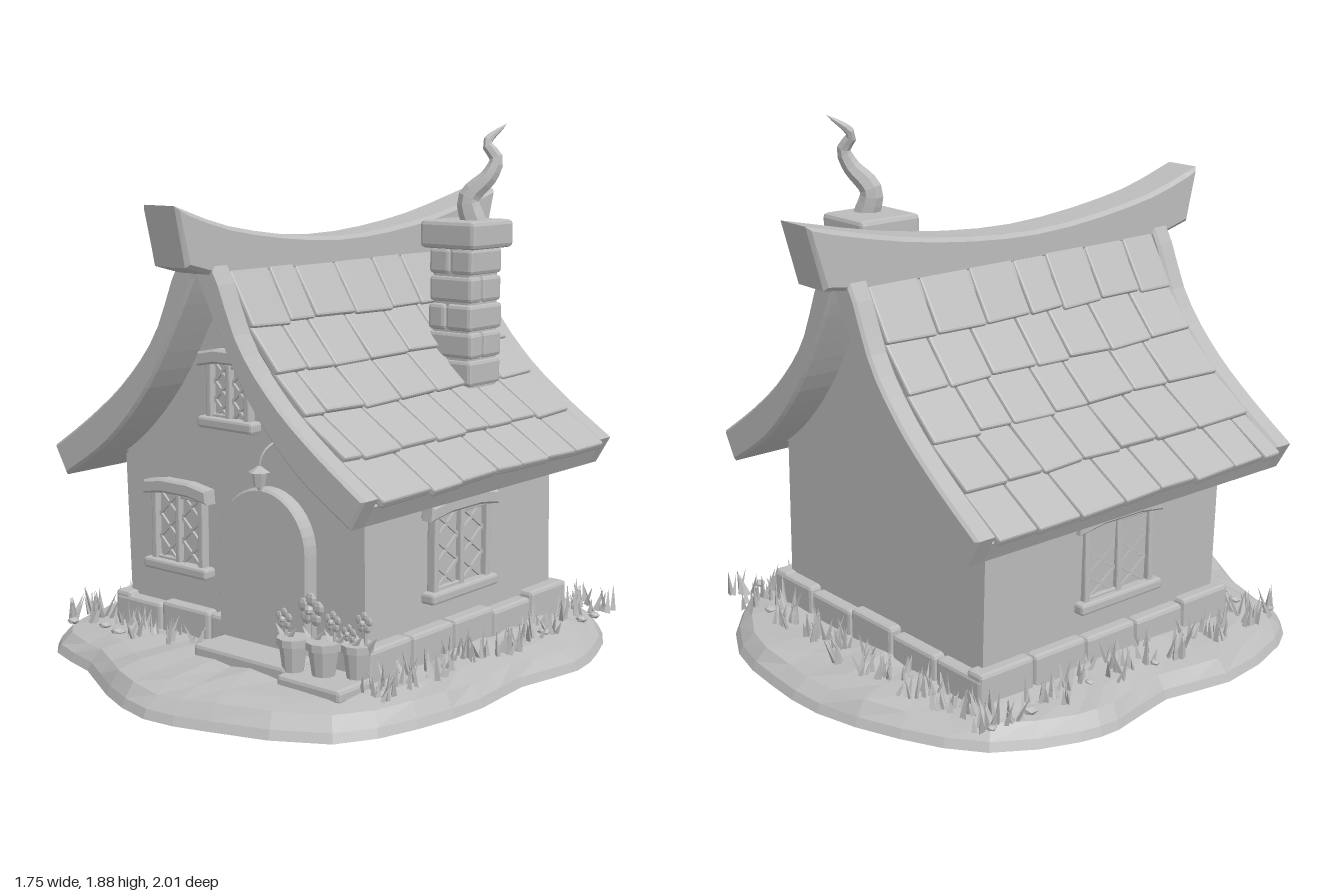
import * as THREE from 'three';
import { mergeGeometries } from 'three/addons/utils/BufferGeometryUtils.js';
import { RoundedBoxGeometry } from 'three/addons/geometries/RoundedBoxGeometry.js';

const clay = new THREE.MeshStandardMaterial({ color: 0xbcbcbc, flatShading: true });
clay.name = 'clayGrey';
const CX = -0.018; // ridge line

let seed = 7;
const rnd = (a = 0, b = 1) => {
  seed = (seed * 16807) % 2147483647;
  return a + (b - a) * (seed / 2147483647);
};
const V2 = (x, y) => new THREE.Vector2(x, y);

function add(parent, name, geo, x = 0, y = 0, z = 0, rx = 0, ry = 0, rz = 0) {
  const m = new THREE.Mesh(geo, clay);
  m.name = name;
  m.position.set(x, y, z);
  m.rotation.set(rx, ry, rz);
  parent.add(m);
  return m;
}
const block = (p, name, w, h, d, x, y, z, rz = 0, r = 0.01) =>
  add(p, name, new RoundedBoxGeometry(w, h, d, 1, r), x, y, z, 0, 0, rz);
const group = (parent, name, x = 0, y = 0, z = 0, ry = 0) => {
  const g = new THREE.Group();
  g.name = name;
  g.position.set(x, y, z);
  g.rotation.y = ry;
  parent.add(g);
  return g;
};
function extrude(shape, depth, bevel = 0) {
  const geo = new THREE.ExtrudeGeometry(shape, {
    depth: depth - 2 * bevel, bevelEnabled: bevel > 0, bevelSize: bevel, bevelOffset: -bevel,
    bevelThickness: bevel, bevelSegments: 1, curveSegments: 10 });
  return geo.translate(0, 0, bevel);
}

// Half roof profile as [distance from ridge, height], ridge to eave
const OUTER = [[0, 1.47], [0.09, 1.42], [0.2, 1.185], [0.35, 1.01], [0.525, 0.87], [0.72, 0.74]];
const INNER = [[0, 1.4], [0.08, 1.245], [0.235, 0.995], [0.43, 0.79], [0.66, 0.64]];
const curve = (pts, k = 1, dy = 0) =>
  new THREE.SplineCurve(pts.map(([u, y]) => V2(u * k, y + dy))).getPoints(16);
const side = (pts, s) => pts.map(p => V2(CX + s * p.x, p.y));
function roofBand(k, dy) {
  const o = curve(OUTER, k, dy), i = curve(INNER);
  return new THREE.Shape([...side(o, -1).reverse(), ...side(o, 1).slice(1),
    ...side(i, 1).reverse(), ...side(i, -1).slice(1)]);
}
// House end outline below the roof, from a floor line up
function gableShape(halfWidth, topWidth, floor) {
  const c = curve(INNER, 1, 0.02).filter(p => p.x < topWidth);
  return new THREE.Shape([V2(-halfWidth, floor), V2(halfWidth, floor),
    ...side(c, 1).reverse(), ...side(c, -1).slice(1)]);
}

function ground(root) {
  const outline = [[-0.13, -1], [-0.45, -0.9], [-0.71, -0.74], [-0.85, -0.47], [-0.87, -0.32], [-0.82, -0.05],
    [-0.87, 0.21], [-0.79, 0.56], [-0.66, 0.72], [-0.42, 0.79], [-0.18, 0.92], [0.08, 1], [0.32, 0.95],
    [0.69, 0.78], [0.81, 0.5], [0.85, 0.21], [0.83, -0.05], [0.88, -0.32], [0.83, -0.53], [0.71, -0.76],
    [0.43, -0.95], [0.14, -1]].map(([x, z]) => new THREE.Vector3(x, 0, z));
  const N = 44, ring = new THREE.CatmullRomCurve3(outline, true).getPoints(N).slice(0, N);
  const levels = [[1, 0], [0.985, 0.03], [0.94, 0.07], [0.85, 0.09], [0.7, 0.1], [0, 0.11]];
  const pos = [], idx = [];
  levels.forEach(([s, y], r) => ring.forEach(p => {
    const j = r > 1 && r < 5 ? rnd(-0.01, 0.01) : 0;
    pos.push(p.x * (s + j), y + j, p.z * (s + j));
  }));
  pos.push(0, 0, 0);
  for (let i = 0; i < N; i++) {
    const n = (i + 1) % N;
    for (let r = 0; r < levels.length - 1; r++) {
      const a = r * N + i, b = r * N + n;
      idx.push(a, b, b + N, a, b + N, a + N);
    }
    idx.push(levels.length * N, n, i);
  }
  const geo = new THREE.BufferGeometry();
  geo.setAttribute('position', new THREE.Float32BufferAttribute(pos, 3));
  geo.setIndex(idx);
  geo.computeVertexNormals();
  add(root, 'groundMound', geo);
}

// Leaded window facing +z, origin at the centre of its pane
function windowUnit(root, name, w, h, x, y, z, ry = 0) {
  const g = group(root, name, x, y, z, ry), hw = w / 2 + 0.05, t = h / 2;
  add(g, 'pane', new THREE.BoxGeometry(w, h, 0.008), 0, 0, 0.004);
  for (const s of [-1, 1]) {
    block(g, 'jamb', 0.025, h, 0.035, s * (w / 2 + 0.005), 0, 0.015, 0, 0.005);
    block(g, 'sash', w / 2, 0.015, 0.025, s * w / 4, s * (t - 0.008), 0.012, 0, 0.004);
    const sw = w / 2 - 0.02, rows = 3, ch = h / rows;
    for (let r = 0; r < rows; r++) for (const d of [-1, 1])
      add(g, 'leadBar', new THREE.BoxGeometry(Math.hypot(sw, ch), 0.01, 0.01),
        s * w / 4, -t + ch * (r + 0.5), 0.012, 0, 0, d * Math.atan2(ch, sw));
  }
  block(g, 'mullion', 0.022, h, 0.03, 0, 0, 0.015, 0, 0.005);
  block(g, 'sill', w + 0.09, 0.04, 0.06, 0, -t - 0.015, 0.02);
  const lintel = new THREE.Shape([V2(-hw, t - 0.015), V2(-w * 0.3, t), V2(w * 0.3, t), V2(hw, t - 0.015),
    V2(hw - 0.005, t + 0.035), V2(w * 0.3, t + 0.05), V2(-w * 0.3, t + 0.05), V2(-hw + 0.005, t + 0.035)]);
  add(g, 'lintel', extrude(lintel, 0.055, 0.008), 0, 0, -0.008);
}

function arch(hw, y0, spring) {
  const s = new THREE.Shape();
  s.moveTo(-hw, y0).lineTo(hw, y0).lineTo(hw, spring);
  s.absarc(0, spring, hw, 0, Math.PI, false);
  return s.lineTo(-hw, y0);
}
function door(root) {
  const g = group(root, 'door', 0.14, 0, 0.44);
  const frame = arch(0.2, 0.13, 0.48);
  frame.holes.push(arch(0.14, 0.135, 0.48));
  add(g, 'doorFrame', extrude(frame, 0.06, 0.008));
  add(g, 'doorLeaf', extrude(arch(0.142, 0.135, 0.48), 0.025));
  for (let i = 0; i < 4; i++) {
    const x = -0.102 + i * 0.068, h = 0.34 + Math.sqrt(0.135 ** 2 - x * x) - 0.02;
    block(g, 'plank', 0.062, h, 0.02, x, 0.14 + h / 2, 0.025, 0, 0.005);
  }
  add(g, 'portholeRim', new THREE.TorusGeometry(0.052, 0.012, 6, 16), 0, 0.485, 0.037);
  add(g, 'portholeGlass', new THREE.CylinderGeometry(0.045, 0.045, 0.008, 16), 0, 0.485, 0.037, Math.PI / 2);
  for (const y of [0.24, 0.41]) block(g, 'hinge', 0.06, 0.025, 0.012, -0.1, y, 0.038, 0, 0.004);
  block(g, 'handlePlate', 0.03, 0.06, 0.012, 0.09, 0.34, 0.038, 0, 0.004);
  add(g, 'handle', new THREE.TorusGeometry(0.017, 0.005, 5, 10), 0.09, 0.33, 0.05);
  // lantern on a bracket above the arch
  const l = group(root, 'lantern', 0.16, 0.73, 0.53);
  add(l, 'lanternBody', new THREE.CylinderGeometry(0.027, 0.018, 0.05, 6), 0, -0.01, 0);
  add(l, 'lanternCap', new THREE.ConeGeometry(0.037, 0.025, 6), 0, 0.027, 0);
  add(l, 'lanternFoot', new THREE.CylinderGeometry(0.012, 0.006, 0.015, 6), 0, -0.04, 0);
  const arm = new THREE.QuadraticBezierCurve3(new THREE.Vector3(0, 0.035, 0),
    new THREE.Vector3(0.01, 0.1, 0), new THREE.Vector3(0.04, 0.12, -0.06));
  add(l, 'bracket', new THREE.TubeGeometry(arm, 8, 0.005, 5));
}

function roof(root) {
  const g = group(root, 'roof');
  add(g, 'roofDeck', extrude(roofBand(0.97, -0.03), 1.32), 0, 0, -0.745);
  for (const z of [0.565, -0.805]) add(g, 'bargeBoard', extrude(roofBand(1, 0), 0.08, 0.01), 0, 0, z);
  const U = [0.08, 0.165, 0.275, 0.4, 0.56, 0.715], Y = [1.42, 1.25, 1.1, 0.97, 0.845, 0.73];
  for (const s of [-1, 1]) for (let r = 0; r < 5; r++) {
    const du = U[r + 1] - U[r], dy = Y[r + 1] - Y[r], a = Math.atan2(dy, du), len = Math.hypot(du, dy);
    for (let z = -0.73; z < 0.56;) {
      let w = Math.min(rnd(0.13, 0.22), 0.565 - z);
      if (0.565 - z - w < 0.07) w = 0.565 - z;
      const l = len * rnd(1.08, 1.2);
      const geo = new RoundedBoxGeometry(l, 0.032, w - 0.006, 1, 0.008);
      const skew = rnd(-0.05, 0.05), p = geo.attributes.position;
      for (let i = 0; i < p.count; i++) // uneven lower edge
        if (p.getX(i) * s > 0) p.setX(i, p.getX(i) + skew * p.getZ(i) + s * 0.006);
      add(g, 'shingle', geo, CX + s * (U[r] + du / 2 - 0.008), (Y[r] + Y[r + 1]) / 2 - 0.01,
        z + w / 2, 0, 0, s * (a + 0.09 + rnd(-0.02, 0.02)));
      z += w;
    }
  }
  // sagging ridge beam
  const top = new THREE.SplineCurve([V2(-0.8, 1.63), V2(-0.5, 1.545), V2(0, 1.495), V2(0.5, 1.535),
    V2(0.95, 1.63)]).getPoints(14);
  const ridge = new THREE.Shape([...top, V2(0.89, 1.415), V2(0.7, 1.39), V2(-0.6, 1.39), V2(-0.755, 1.43)]);
  add(g, 'ridgeBeam', extrude(ridge, 0.165, 0.014).rotateY(Math.PI / 2), CX - 0.083);
}

function chimney(root) {
  const g = group(root, 'chimney', 0.325, 0, -0.393);
  block(g, 'core', 0.165, 0.6, 0.17, 0, 1.2, 0);
  for (let r = 0; r < 5; r++) {
    const split = rnd(-0.035, 0.035), y = 1.0 + r * 0.1, e = rnd(-0.008, 0.008);
    for (const s of [-1, 1]) {
      const l = 0.096 - s * split - 0.003, c = (split + s * 0.096) / 2;
      if (r % 2) block(g, 'stone', 0.19 + e, 0.094, l, 0, y, c, 0, 0.014);
      else block(g, 'stone', l, 0.094, 0.195 + e, c, y, 0, 0, 0.014);
    }
  }
  block(g, 'cap', 0.24, 0.1, 0.25, 0, 1.495, -0.005, 0, 0.016);
  const path = new THREE.CatmullRomCurve3([[0.365, 1.53, -0.39], [0.345, 1.62, -0.38], [0.405, 1.7, -0.42],
    [0.42, 1.76, -0.44], [0.385, 1.815, -0.43], [0.415, 1.885, -0.51]].map(p => new THREE.Vector3(...p)));
  const S = 18, R = 7, geo = new THREE.TubeGeometry(path, S, 0.048, R), p = geo.attributes.position;
  const v = new THREE.Vector3();
  for (let i = 0; i < p.count; i++) { // taper to a wisp
    const t = Math.floor(i / (R + 1)) / S, c = path.getPointAt(t);
    v.fromBufferAttribute(p, i).sub(c).multiplyScalar(Math.pow(1 - t, 0.7)).add(c);
    p.setXYZ(i, v.x, v.y, v.z);
  }
  add(root, 'smoke', geo);
}

function flower(parent, x, y, z, h, r) {
  const g = group(parent, 'flower', x, y, z);
  add(g, 'stem', new THREE.CylinderGeometry(0.005, 0.006, h, 5), 0, h / 2, 0);
  for (let i = 0; i < 5; i++) {
    const a = i * Math.PI * 0.4 + 0.3;
    add(g, 'petal', new THREE.SphereGeometry(r * 0.45, 6, 5), Math.cos(a) * r * 0.6, h + Math.sin(a) * r * 0.6, 0.01)
      .scale.z = 0.4;
  }
  add(g, 'flowerHeart', new THREE.SphereGeometry(r * 0.3, 6, 5), 0, h, 0.02);
  for (const s of [-1, 1]) add(g, 'leaf', new THREE.ConeGeometry(0.018, 0.07, 4), s * 0.025, 0.02, 0, 0, 0, -s * 0.7);
}
function pot(root, x, y, z, r, h) {
  const g = group(root, 'flowerPot', x, y, z);
  add(g, 'potBody', new THREE.CylinderGeometry(r * 0.9, r * 0.65, h, 10), 0, h / 2, 0);
  add(g, 'potRim', new THREE.CylinderGeometry(r, r, 0.025, 10), 0, h, 0);
  return g;
}

// Point on the plinth outline pushed out by o, t from 0 to 1
function around(t, o) {
  const w = 1.2 + 2 * o, d = 1.17 + 2 * o;
  let q = t * 2 * (w + d);
  if (q < w) return [-w / 2 + q, 0.49 + o];
  if ((q -= w) < d) return [w / 2, 0.49 + o - q];
  if ((q -= d) < w) return [w / 2 - q, -0.68 - o];
  return [-w / 2, -0.68 - o + q - w];
}
function garden(root) {
  const blades = [];
  for (let i = 0; i < 95; i++) {
    const [x, z] = around((i + rnd(0, 0.8)) / 95, rnd(0.03, 0.13));
    if (z > 0.48 && x > -0.12 && x < 0.6) continue;
    for (let b = 0; b < 5; b++) {
      const h = rnd(0.05, 0.11);
      blades.push(new THREE.ConeGeometry(rnd(0.008, 0.014), h, 3).translate(0, h / 2, 0)
        .rotateZ(rnd(-0.5, 0.5)).rotateY(rnd(0, 6)).translate(x + rnd(-0.03, 0.03), 0.085, z + rnd(-0.03, 0.03)));
    }
  }
  add(root, 'grass', mergeGeometries(blades));
  for (let i = 0; i < 14; i++) {
    const [x, z] = around(rnd(), rnd(0.08, 0.14));
    add(root, 'pebble', new THREE.IcosahedronGeometry(rnd(0.015, 0.03)), x, 0.095, z).scale.y = 0.6;
  }
}

export function createModel() {
  const root = new THREE.Group();
  root.name = 'cottage';
  ground(root);
  // walls, with gables standing slightly proud
  add(root, 'walls', extrude(gableShape(0.55, 0.57, 0.08), 1.08), 0, 0, -0.635);
  for (const z of [0.445, -0.66]) add(root, 'gable', extrude(gableShape(0.56, 0.56, 0.72), 0.025), 0, 0, z);
  // plinth stones
  const plinth = group(root, 'plinth');
  for (const [len, x, z, ry] of [[1.2, 0, 0.45, 0], [1.2, 0, -0.64, 0], [1.17, 0.56, -0.095, 1], [1.17, -0.56, -0.095, 1]])
    for (let i = 0; i < 5; i++) {
      const l = len / 5, o = -len / 2 + l * (i + 0.5), h = rnd(0.11, 0.13);
      block(plinth, 'plinthStone', ry ? 0.08 : l - 0.006, h, ry ? l - 0.006 : 0.08,
        x + (ry ? 0 : o), 0.075 + h / 2, z + (ry ? o : 0), 0, 0.014);
    }
  windowUnit(root, 'frontWindow', 0.22, 0.25, -0.287, 0.47, 0.445);
  windowUnit(root, 'atticWindow', 0.165, 0.19, -0.013, 0.99, 0.47);
  for (const s of [-1, 1]) windowUnit(root, 'sideWindow', 0.29, 0.27, s * 0.55, 0.45, -0.045, s * Math.PI / 2);
  door(root);
  roof(root);
  chimney(root);
  // doorstep, paving and pots
  block(root, 'doorStep', 0.42, 0.06, 0.16, 0.16, 0.11, 0.56, 0, 0.014);
  block(root, 'pavingSlab', 0.27, 0.05, 0.18, 0.49, 0.1, 0.58, 0, 0.014);
  flower(pot(root, 0.37, 0.125, 0.6, 0.055, 0.1), -0.03, 0.1, 0, 0.07, 0.035);
  const big = pot(root, 0.475, 0.125, 0.57, 0.06, 0.1);
  flower(big, -0.045, 0.1, 0, 0.11, 0.055);
  flower(big, 0.03, 0.1, -0.02, 0.08, 0.035);
  const last = pot(root, 0.575, 0.125, 0.52, 0.055, 0.1);
  flower(last, 0.035, 0.1, 0, 0.09, 0.035);
  flower(last, -0.01, 0.1, 0.02, 0.05, 0.03);
  garden(root);
  return root;
}
